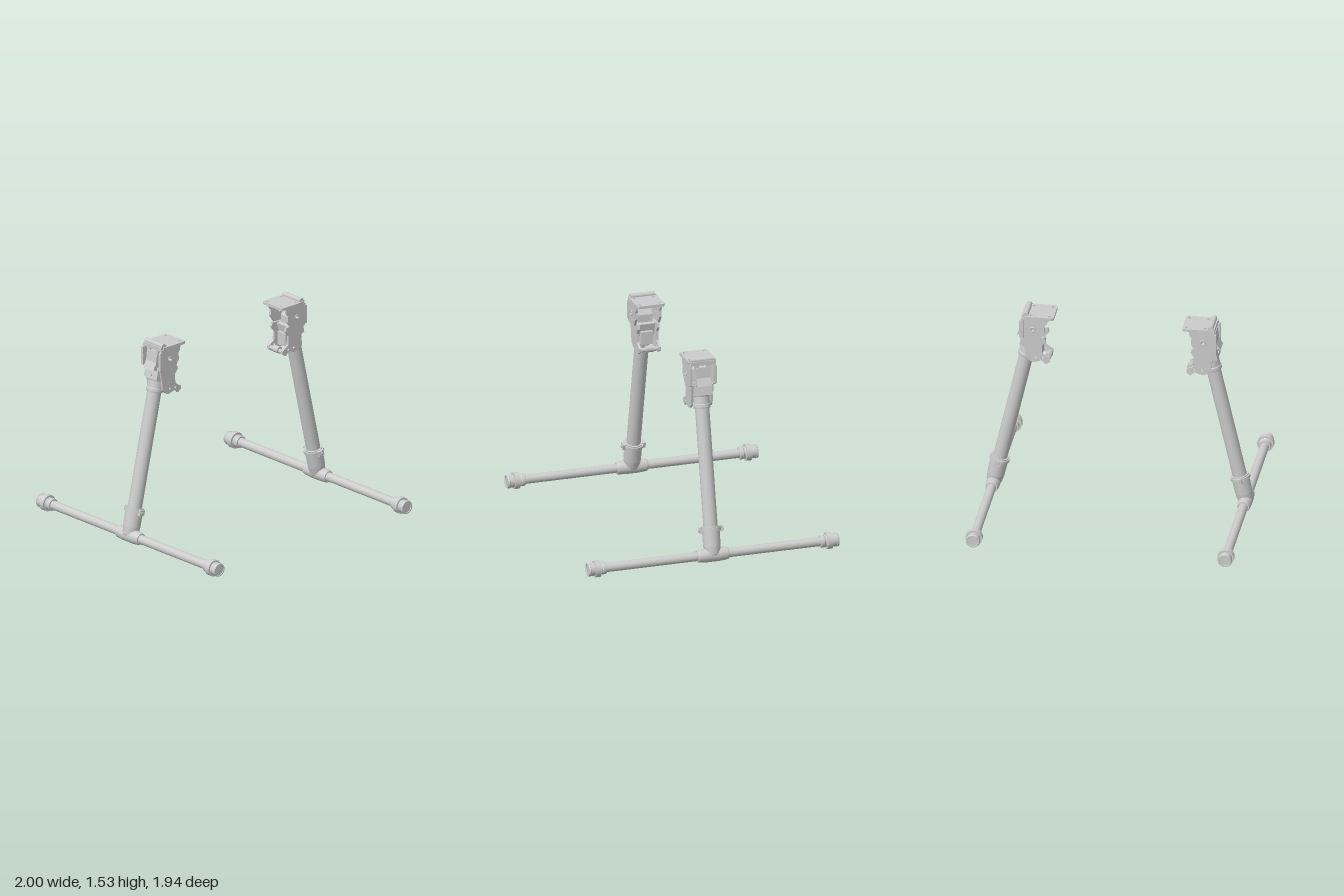
import * as THREE from 'three';

const mat = new THREE.MeshStandardMaterial({ color: 0xcccccc, side: THREE.DoubleSide });
const SKID_X = -0.94, SKID_Y = 0.062, LEAN = -0.221;

function add(parent, name, geometry, x = 0, y = 0, z = 0) {
  const mesh = new THREE.Mesh(geometry, mat);
  mesh.name = name;
  mesh.position.set(x, y, z);
  parent.add(mesh);
  return mesh;
}

// turned part from [radius, height] pairs, each band with its own crisp edges
function turned(points, segments = 32) {
  const doubled = points.flatMap(([r, h]) => [new THREE.Vector2(r, h), new THREE.Vector2(r, h)]);
  return new THREE.LatheGeometry(doubled, segments);
}

// cylinder lying along z
const rodZ = (r, length, segments = 24) =>
  new THREE.CylinderGeometry(r, r, length, segments).rotateX(Math.PI / 2);

// flat plate in the xy plane, centred on z, with round [x, y, r] holes
function plate(points, thickness, holes = []) {
  const shape = new THREE.Shape(points.map(([x, y]) => new THREE.Vector2(x, y)));
  for (const [x, y, r] of holes) {
    shape.holes.push(new THREE.Path().absarc(x, y, r, 0, Math.PI * 2, true));
  }
  return new THREE.ExtrudeGeometry(shape, { depth: thickness, bevelEnabled: false, curveSegments: 10 })
    .translate(0, 0, -thickness / 2);
}

function buildSkid() {
  const skid = new THREE.Group();
  skid.name = 'skid';
  skid.position.set(SKID_X, SKID_Y, 0);
  add(skid, 'skidTube', rodZ(0.034, 1.9, 32));
  const cap = [[0.034, 0.833], [0.045, 0.833], [0.047, 0.838], [0.047, 0.86], [0.042, 0.866], [0.042, 0.874],
    [0.048, 0.88], [0.062, 0.88], [0.062, 0.92], [0.049, 0.92], [0.049, 0.957], [0.053, 0.96],
    [0.049, 0.972], [0.04, 0.972], [0.038, 0.968], [0, 0.968]];
  for (const s of [1, -1]) {
    add(skid, 'rubberFoot', turned(cap).rotateX(s * Math.PI / 2));
  }
  // tee fitting around the skid tube
  add(skid, 'teeSleeve', turned([[0.034, -0.12], [0.043, -0.12], [0.047, -0.11], [0.052, -0.05],
    [0.052, 0.05], [0.047, 0.11], [0.043, 0.12], [0.034, 0.12]]).rotateX(Math.PI / 2));
  return skid;
}

function buildLeg() {
  const leg = new THREE.Group();
  leg.name = 'leg';
  leg.position.set(SKID_X, SKID_Y, 0);
  leg.rotation.z = LEAN;
  add(leg, 'legTube', new THREE.CylinderGeometry(0.053, 0.053, 1.1, 40), 0, 0.65, 0);
  // tee stem, flaring into the sleeve, with the clamp ring on top
  add(leg, 'teeStem', turned([[0.052, 0.0], [0.058, 0.01], [0.065, 0.07], [0.066, 0.19], [0.066, 0.215], [0.053, 0.215]]));
  add(leg, 'clampRing', turned([[0.06, 0.185], [0.076, 0.185], [0.076, 0.207], [0.06, 0.207]]));
  for (const s of [1, -1]) {
    add(leg, 'clampLug', new THREE.BoxGeometry(0.045, 0.042, 0.03), 0, 0.19, s * 0.073);
    add(leg, 'clampBolt', rodZ(0.012, 0.012, 12), 0, 0.19, s * 0.09);
  }
  // socket at the head of the tube
  add(leg, 'headSocket', turned([[0.053, 1.1], [0.062, 1.1], [0.064, 1.11], [0.064, 1.13], [0.06, 1.135],
    [0.06, 1.19], [0.065, 1.2], [0, 1.2]]));
  add(leg, 'headBlock', new THREE.BoxGeometry(0.13, 0.1, 0.14), 0, 1.25, 0);
  add(leg, 'headScrew', new THREE.CylinderGeometry(0.012, 0.012, 0.01, 12).rotateZ(Math.PI / 2), -0.068, 1.23, 0);
  return leg;
}

function buildHinge() {
  const hinge = new THREE.Group();
  hinge.name = 'foldingHinge';

  // mounting plate with rounded corners and four screw holes
  const x0 = -0.7, x1 = -0.48, w = 0.107, r = 0.02;
  const s = new THREE.Shape();
  s.moveTo(x0, -w).lineTo(x1 - r, -w).quadraticCurveTo(x1, -w, x1, -w + r)
    .lineTo(x1, w - r).quadraticCurveTo(x1, w, x1 - r, w).lineTo(x0, w).closePath();
  for (const x of [-0.65, -0.51]) {
    for (const z of [-0.075, 0.075]) {
      s.holes.push(new THREE.Path().absarc(x, z, 0.01, 0, Math.PI * 2, true));
    }
  }
  add(hinge, 'mountingPlate', new THREE.ExtrudeGeometry(s, { depth: 0.02, bevelEnabled: false })
    .rotateX(-Math.PI / 2), 0, 1.486, 0);

  // pivot barrel along the outer edge of the plate
  add(hinge, 'pivotBarrel', rodZ(0.02, 0.19), -0.69, 1.512, 0);
  add(hinge, 'barrelSaddle', new THREE.BoxGeometry(0.05, 0.03, 0.19), -0.695, 1.492, 0);

  const cheek = [[-0.72, 1.49], [-0.73, 1.34], [-0.71, 1.315], [-0.635, 1.3], [-0.585, 1.32], [-0.545, 1.38],
    [-0.55, 1.43], [-0.535, 1.45], [-0.53, 1.49]];
  const ear = [[-0.715, 1.32], [-0.7, 1.24], [-0.69, 1.16], [-0.66, 1.13], [-0.63, 1.12], [-0.57, 1.14],
    [-0.54, 1.11], [-0.51, 1.13], [-0.51, 1.155], [-0.565, 1.19], [-0.57, 1.26], [-0.54, 1.3], [-0.55, 1.33]];
  for (const side of [1, -1]) {
    add(hinge, 'upperCheek', plate(cheek, 0.018, [[-0.635, 1.4, 0.01]]), 0, 0, side * 0.093);
    add(hinge, 'lowerEar', plate(ear, 0.018, [[-0.62, 1.16, 0.009], [-0.565, 1.158, 0.009]]), 0, 0, side * 0.076);
    add(hinge, 'pivotWasher', new THREE.TorusGeometry(0.017, 0.005, 8, 24), -0.635, 1.4, side * 0.103);
    add(hinge, 'outerRib', new THREE.BoxGeometry(0.03, 0.14, 0.02), -0.72, 1.4, side * 0.095);
    add(hinge, 'plateTab', new THREE.BoxGeometry(0.03, 0.05, 0.03), -0.7, 1.465, side * 0.045);
  }

  // locking lever between the cheeks, with its thumb hook outside
  add(hinge, 'lockingLever', plate([[-0.72, 1.46], [-0.73, 1.38], [-0.76, 1.325], [-0.735, 1.33], [-0.72, 1.31],
    [-0.62, 1.3], [-0.62, 1.38], [-0.68, 1.46]], 0.11));

  // cross pins and latch at the inner foot of the ears
  add(hinge, 'latchPin', rodZ(0.016, 0.16, 16), -0.53, 1.14, 0);
  add(hinge, 'latchRoller', rodZ(0.026, 0.06, 20), -0.53, 1.145, 0);
  add(hinge, 'latchBlock', new THREE.BoxGeometry(0.05, 0.1, 0.09), -0.6, 1.21, 0);
  return hinge;
}

export function createModel() {
  const model = new THREE.Group();
  model.name = 'landingGear';
  for (const [name, turn] of [['rightLegAssembly', 0], ['leftLegAssembly', Math.PI]]) {
    const half = new THREE.Group();
    half.name = name;
    half.add(buildSkid(), buildLeg(), buildHinge());
    half.rotation.y = turn;
    model.add(half);
  }
  return model;
}
